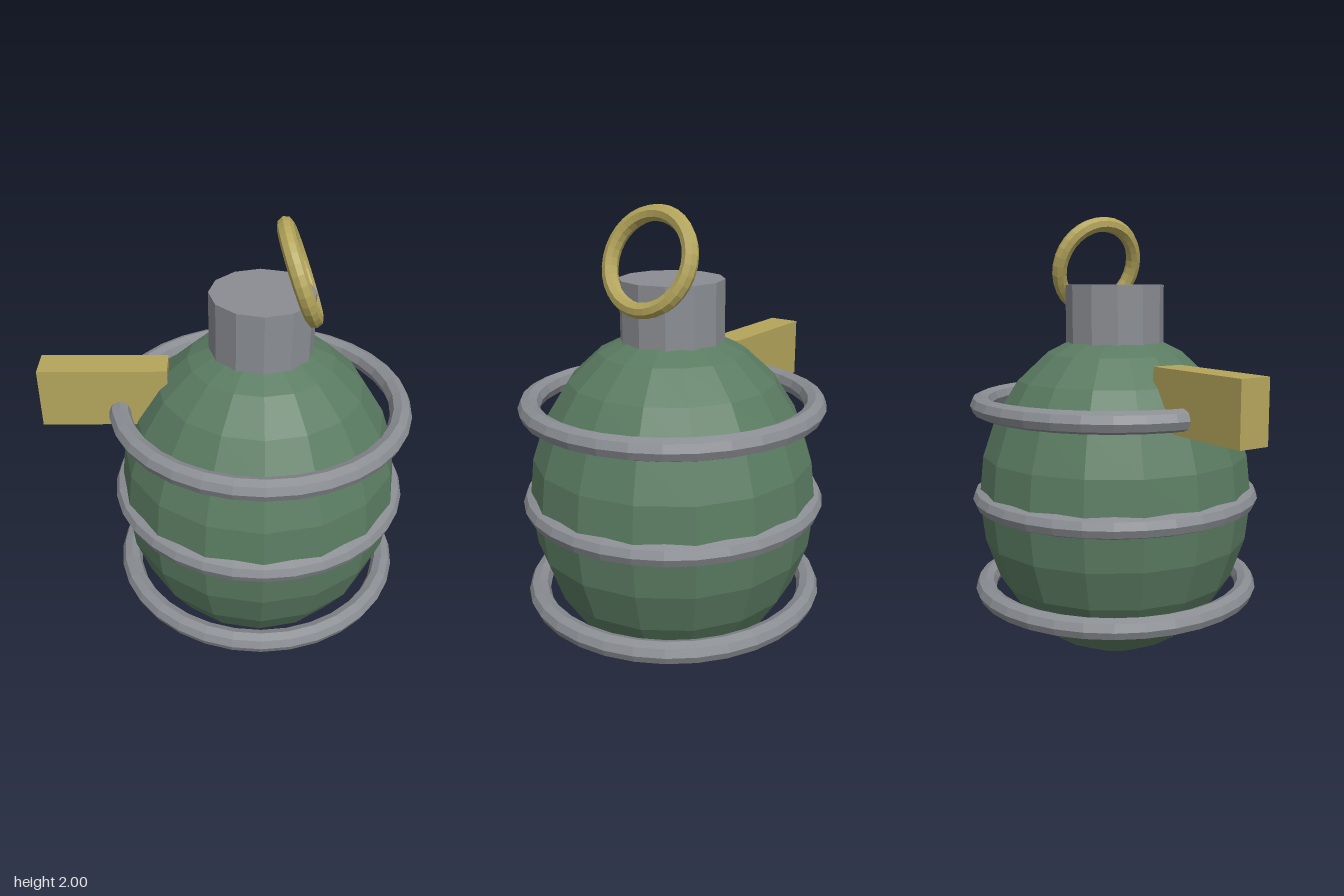
import * as THREE from 'three';

const CX = 0.14; // body axis, offset because of the side lever

function material(name, color) {
  const m = new THREE.MeshStandardMaterial({ color, flatShading: true });
  m.name = name;
  return m;
}

export function createModel() {
  const model = new THREE.Group();
  const green = material('green', 0x5a7b61);
  const steel = material('steel grey', 0x8a8d92);
  const brass = material('brass', 0xb4a55b);

  function add(name, geometry, mat, x, y, z = 0) {
    const mesh = new THREE.Mesh(geometry, mat);
    mesh.name = name;
    mesh.position.set(x, y, z);
    model.add(mesh);
    return mesh;
  }

  // Egg-shaped faceted body
  const body = new THREE.SphereGeometry(0.625, 16, 12);
  body.scale(1, 1.2, 1);
  add('body', body, green, CX, 0.75);

  // Three hoops around the body
  [['lowerHoop', 0.325], ['middleHoop', 0.75], ['upperHoop', 1.175]].forEach(([name, y]) => {
    const hoop = new THREE.TorusGeometry(0.608, 0.047, 8, 32);
    hoop.rotateX(Math.PI / 2);
    add(name, hoop, steel, CX, y);
  });

  // Neck on top
  add('neck', new THREE.CylinderGeometry(0.22, 0.22, 0.35, 12), steel, CX, 1.525);

  // Lever block at the side
  add('lever', new THREE.BoxGeometry(0.545, 0.265, 0.14), brass, -0.527, 1.238);

  // Tilted pull ring
  const ring = new THREE.TorusGeometry(0.195, 0.034, 8, 32);
  ring.rotateY(Math.PI / 2);
  add('pullRing', ring, brass, 0.288, 1.783).rotation.z = 0.35;

  return model;
}
